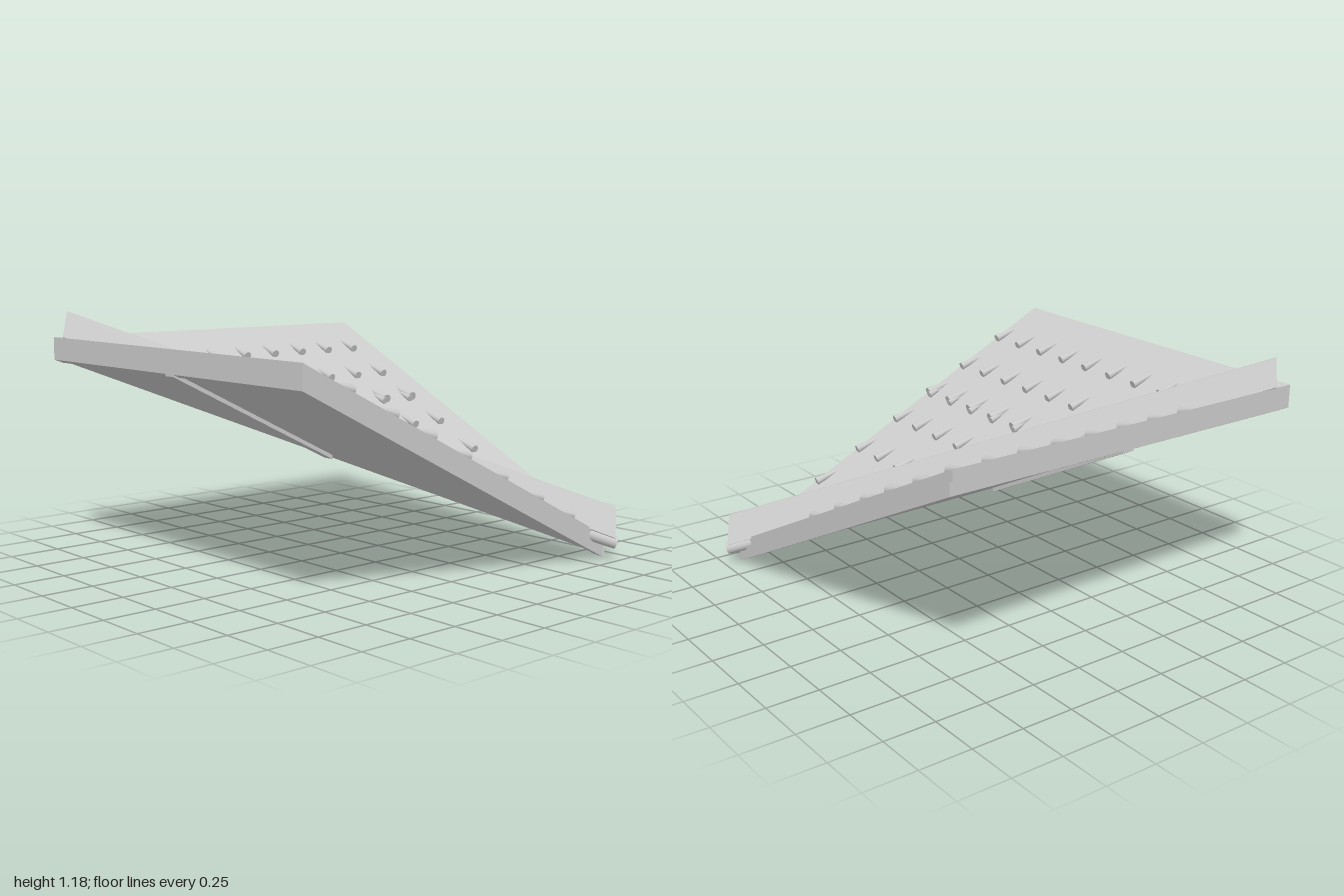
import * as THREE from 'three';
import { ConvexGeometry } from 'three/addons/geometries/ConvexGeometry.js';

const V = (x, y, z) => new THREE.Vector3(x, y, z);
const UP = V(0, 1, 0);
const material = new THREE.MeshStandardMaterial({ color: 0xcccccc, side: THREE.DoubleSide });

// Height of the roof surface; v runs down the slope
const roofY = (v) => 0.55 - 0.5 * v;

// Roof coordinates (u across, v down the slope); the side wing swaps x and z
const place = (swap, u, y, v) => (swap ? V(v, y, u) : V(u, y, v));

// Point on the diagonal valley: d along it, s sideways
const valley = (d, s, y) => V(d + s * Math.SQRT1_2, y, d - s * Math.SQRT1_2);

function add(parent, name, geometry) {
  const mesh = new THREE.Mesh(geometry, material);
  mesh.name = name;
  parent.add(mesh);
  return mesh;
}

// Sloped panel between two depths under the roof surface
function panel(parent, name, swap, corners, top, bottom) {
  const points = [];
  for (const [u, v] of corners) {
    for (const depth of [top, bottom]) points.push(place(swap, u, roofY(v) - depth, v));
  }
  add(parent, name, new ConvexGeometry(points));
}

// Tapered round bar between two points
function taper(parent, name, from, to, r0, r1, open = false) {
  const axis = to.clone().sub(from);
  const mesh = add(parent, name, new THREE.CylinderGeometry(r1, r0, axis.length(), 12, 1, open));
  mesh.position.copy(from).add(to).multiplyScalar(0.5);
  mesh.quaternion.setFromUnitVectors(UP, axis.normalize());
}

function createWing(swap) {
  const wing = new THREE.Group();
  wing.name = swap ? 'sideRoofWing' : 'backRoofWing';
  const a = -0.99;
  const e = 0.9;
  const lip = swap ? e : 0.915;

  // Roof skin, core and the rim around the underside
  panel(wing, 'roofSkin', swap, [[a, a], [e, e], [e, a]], 0, 0.05);
  panel(wing, 'roofCore', swap, [[a, a], [e, e], [e, a]], 0.05, 0.1);
  panel(wing, 'outerRim', swap, [[e - 0.03, a], [lip, a], [lip, e], [e - 0.03, e - 0.03]], 0.05, 0.11);
  panel(wing, 'upperRim', swap, [[a, a], [lip, a], [lip, a + 0.03], [a + 0.03, a + 0.03]], 0.05, 0.11);

  // Batten under the middle of the wing
  panel(wing, 'batten', swap, [[-0.03, a], [0.03, a], [0.03, -0.08], [-0.03, -0.08]], 0.09, 0.12);

  // Rows of tapered stubs poking out of the slope
  [-0.7, -0.46, -0.24, -0.02, 0.22, 0.47, 0.7].forEach((v, row) => {
    const big = row === 2;
    for (let i = 0; i < 9; i++) {
      const u = (swap ? -0.62 : -0.585) + i * 0.186;
      if (u - v < 0.075 || u > 0.88) continue;
      const y = roofY(v);
      const r = big ? 0.027 : 0.021;
      taper(wing, 'roofStub', place(swap, u, y + 0.018, v),
        place(swap, u + (swap ? -0.015 : 0.008), y + 0.062, v - 0.14), r, 0.005);
      if (big) {
        taper(wing, 'roofStub', place(swap, u - 0.02, y + 0.012, v + 0.01),
          place(swap, u - 0.015, y + 0.04, v - 0.09), 0.018, 0.005);
      }
    }
  });
  return wing;
}

export function createModel() {
  const model = new THREE.Group();
  model.name = 'roofValleyCorner';
  model.add(createWing(false), createWing(true));

  // Gabled beam lying in the valley
  const section = (dTop, yTop, dBase, yBase, w) => [
    valley(dTop, -0.008, yTop), valley(dTop, 0.008, yTop),
    valley(dBase, -w, yBase), valley(dBase, w, yBase),
    valley(dBase, 0, yBase - 0.03),
  ];
  add(model, 'valleyBeam', new ConvexGeometry([
    ...section(-0.94, 1.17, -0.945, 1.05, 0.07),
    ...section(0.94, 0.235, 0.935, 0.1, 0.08),
  ]));

  // Pair of pipes under the low end of the beam
  for (const s of [-0.045, 0.045]) {
    taper(model, 'beamPipe', valley(0.82, s, 0.125), valley(0.94, s, 0.07), 0.03, 0.03, true);
    taper(model, 'beamPipeCore', valley(0.82, s, 0.125), valley(0.925, s, 0.077), 0.025, 0.025);
  }
  return model;
}
